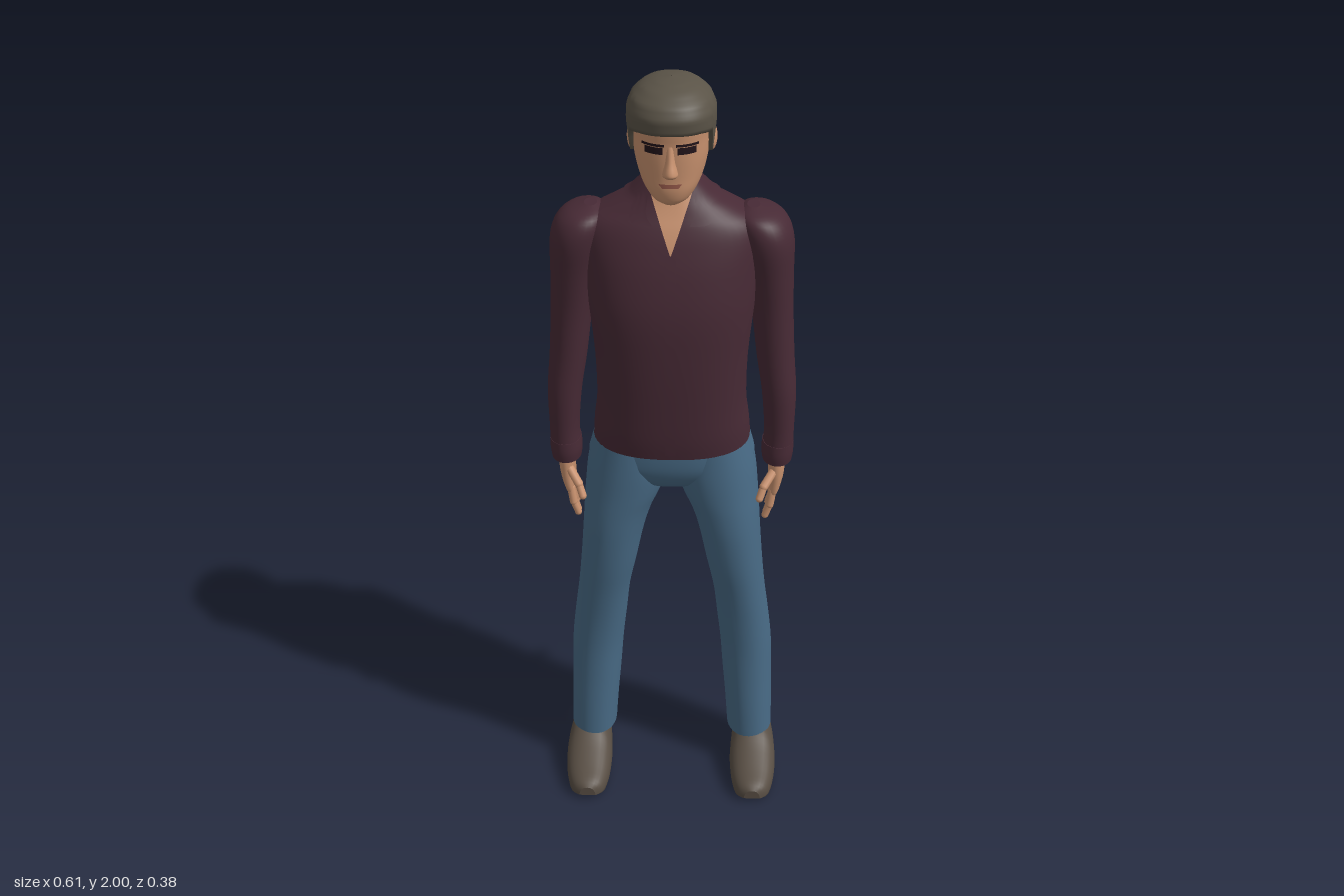
import * as THREE from 'three';
import { mergeGeometries } from 'three/addons/utils/BufferGeometryUtils.js';

const { lerp, smoothstep } = THREE.MathUtils;
const mat = (name, color, side = THREE.FrontSide) => {
  const m = new THREE.MeshStandardMaterial({ color, side });
  m.name = name;
  return m;
};

// Surface over u, v in 0..1; wrap closes it around u without a seam.
function grid(nu, nv, f, wrap = false) {
  const cols = wrap ? nu : nu + 1, pos = [], idx = [];
  for (let j = 0; j <= nv; j++) for (let i = 0; i < cols; i++) pos.push(...f(i / nu, j / nv));
  for (let j = 0; j < nv; j++) for (let i = 0; i < nu; i++) {
    const k = (i + 1) % cols, a = j * cols + i, b = j * cols + k, c = a + cols, d = b + cols;
    idx.push(a, b, c, b, d, c);
  }
  const g = new THREE.BufferGeometry();
  g.setAttribute('position', new THREE.Float32BufferAttribute(pos, 3));
  g.setIndex(idx);
  g.computeVertexNormals();
  return g;
}

// Smooth interpolation through section rows, t in 0..1.
function sectionAt(rows, t) {
  const n = rows.length - 1, s = t * n, i = Math.min(Math.floor(s), n - 1), f = s - i;
  const row = k => rows[Math.max(0, Math.min(n, k))];
  const [A, B, C, D] = [row(i - 1), row(i), row(i + 1), row(i + 2)];
  return B.map((b, k) => b + 0.5 * f * (C[k] - A[k] + f * (2 * A[k] - 5 * b + 4 * C[k] - D[k]
    + f * (3 * (b - C[k]) + D[k] - A[k]))));
}

// Section at a given height, by linear interpolation.
function sectionY(rows, y) {
  let i = 0;
  while (i < rows.length - 2 && rows[i + 1][0] < y) i++;
  const t = (y - rows[i][0]) / (rows[i + 1][0] - rows[i][0]);
  return rows[i].map((v, k) => lerp(v, rows[i + 1][k], t));
}

// Point on a section [y, cx, rx, zFront, zBack]; angle 0 faces front.
const pw = (v, p) => Math.sign(v) * Math.abs(v) ** (2 / p);
function ringPoint([y, cx, rx, zf, zb], a, p, grow = 0) {
  return [cx + (rx + grow) * pw(Math.sin(a), p), y,
    (zf + zb) / 2 + ((zf - zb) / 2 + grow) * pw(Math.cos(a), p)];
}

// Closed loft through rows ordered upwards.
function loft(rows, p = 2, nu = 32) {
  const ring = (v, u) => ringPoint(sectionAt(rows, v), u * Math.PI * 2, p);
  const cap = (v, up) => grid(nu, 1, (u, k) => {
    const [y, cx, , zf, zb] = sectionAt(rows, v);
    return (k === 1) === up ? [cx, y, (zf + zb) / 2] : ring(v, u);
  }, true);
  return mergeGeometries([grid(nu, (rows.length - 1) * 4, (u, v) => ring(v, u), true),
    cap(0, false), cap(1, true)]);
}

// Thin patch lying on the front of a lofted form.
function patch(rows, p, y0, y1, left, right, off) {
  const dense = Array.from({ length: 161 }, (_, i) => sectionAt(rows, i / 160));
  return grid(10, 16, (u, v) => {
    const y = lerp(y0, y1, v), x = lerp(left(v), right(v), u);
    const [, cx, rx, zf, zb] = sectionY(dense, y);
    const q = Math.min(1, Math.abs((x - cx) / rx)) ** p;
    return [x, y, (zf + zb) / 2 + (zf - zb) / 2 * (1 - q) ** (1 / p) + off];
  });
}

function capsule(a, b, r) {
  const d = b.clone().sub(a), g = new THREE.CapsuleGeometry(r, d.length(), 5, 10);
  g.applyQuaternion(new THREE.Quaternion().setFromUnitVectors(new THREE.Vector3(0, 1, 0), d.clone().normalize()));
  const m = a.clone().add(b).multiplyScalar(0.5);
  return g.translate(m.x, m.y, m.z);
}

const TORSO = [
  [1.07, 0, 0.195, 0.108, -0.185], [1.12, 0, 0.191, 0.115, -0.17], [1.2, 0, 0.182, 0.12, -0.148],
  [1.32, 0, 0.184, 0.125, -0.146], [1.45, 0, 0.196, 0.124, -0.152], [1.55, 0, 0.205, 0.107, -0.157],
  [1.62, 0, 0.21, 0.086, -0.15], [1.66, 0, 0.195, 0.07, -0.14], [1.69, 0, 0.145, 0.055, -0.125],
  [1.72, 0, 0.092, 0.042, -0.106], [1.75, 0, 0.063, 0.032, -0.09]];
const ARM = [
  [1.01, 0.264, 0.036, 0.03, -0.068], [1.05, 0.265, 0.038, 0.032, -0.066], [1.1, 0.266, 0.037, 0.032, -0.062],
  [1.2, 0.262, 0.042, 0.035, -0.068], [1.3, 0.25, 0.046, 0.033, -0.085], [1.42, 0.239, 0.05, 0.035, -0.1],
  [1.52, 0.23, 0.056, 0.045, -0.115], [1.6, 0.22, 0.064, 0.055, -0.125], [1.645, 0.208, 0.062, 0.05, -0.12],
  [1.67, 0.197, 0.045, 0.03, -0.1], [1.683, 0.187, 0.015, -0.015, -0.06]];
const LEG = [
  [0.105, 0.218, 0.062, 0.045, -0.115], [0.2, 0.213, 0.064, 0.043, -0.12], [0.3, 0.207, 0.067, 0.04, -0.126],
  [0.4, 0.201, 0.069, 0.04, -0.13], [0.5, 0.19, 0.069, 0.047, -0.124], [0.6, 0.178, 0.068, 0.06, -0.115],
  [0.7, 0.163, 0.073, 0.075, -0.113], [0.8, 0.149, 0.079, 0.084, -0.116], [0.87, 0.136, 0.087, 0.086, -0.123],
  [0.93, 0.12, 0.098, 0.086, -0.138], [1.0, 0.107, 0.103, 0.085, -0.152], [1.09, 0.1, 0.09, 0.08, -0.15]];
const PELVIS = [
  [0.935, 0, 0.04, 0.02, -0.06], [0.96, 0, 0.13, 0.06, -0.12], [1.0, 0, 0.203, 0.082, -0.152],
  [1.05, 0, 0.2, 0.09, -0.163], [1.14, 0, 0.172, 0.09, -0.135]];
const HEAD = [
  [1.733, 0, 0.02, 0.088, 0.03], [1.745, 0, 0.042, 0.1, 0], [1.77, 0, 0.061, 0.107, -0.04],
  [1.8, 0, 0.074, 0.108, -0.07], [1.84, 0, 0.083, 0.11, -0.085], [1.88, 0, 0.087, 0.111, -0.095],
  [1.92, 0, 0.088, 0.113, -0.095], [1.96, 0, 0.07, 0.09, -0.08], [1.985, 0, 0.03, 0.04, -0.03]];
const HAIR = [
  [1.78, 0, 0.076, 0.108, -0.082], [1.83, 0, 0.091, 0.114, -0.1], [1.87, 0, 0.096, 0.118, -0.106],
  [1.91, 0, 0.1, 0.126, -0.108], [1.94, 0, 0.099, 0.129, -0.106], [1.965, 0, 0.088, 0.115, -0.096],
  [1.985, 0, 0.064, 0.083, -0.072], [1.996, 0, 0.034, 0.048, -0.04], [2.0, 0, 0.001, 0.006, 0.004]];
// Hairline height by angle in degrees from the front.
const HAIRLINE = [[0, 1.908], [40, 1.906], [66, 1.898], [76, 1.84], [94, 1.835], [100, 1.87],
  [116, 1.865], [124, 1.815], [180, 1.797]];

export function createModel() {
  const root = new THREE.Group();
  const shirt = mat('shirt plum', 0x472a35, THREE.DoubleSide), jeans = mat('denim blue', 0x486a85);
  const skin = mat('skin', 0xc9926f), hair = mat('hair brown', 0x5a5347, THREE.DoubleSide);
  const shoe = mat('shoe brown', 0x574d43), dark = mat('eye dark', 0x22141a), lip = mat('lip', 0x96594a);
  const add = (name, geo, m, parent = root) => {
    const mesh = new THREE.Mesh(geo, m);
    mesh.name = name;
    parent.add(mesh);
    return mesh;
  };

  // Shirt body, open neck and front placket
  add('shirtBody', loft(TORSO, 2.4, 48), shirt);
  const neckW = v => 0.001 + 0.05 * v;
  add('openNeck', patch(TORSO, 2.4, 1.61, 1.749, v => -neckW(v), neckW, 0.004), skin);
  add('placket', patch(TORSO, 2.4, 1.085, 1.61, () => -0.013, () => 0.013, 0.003), shirt);

  // Folded collar running round the neck, with points at the front
  add('collar', grid(64, 6, (u, v) => {
    const start = lerp(0.17, 0.75, v), a = lerp(start, Math.PI * 2 - start, u);
    const front = Math.min(a, Math.PI * 2 - a);
    const y = lerp(lerp(1.672, 1.712, smoothstep(front, 0.35, 0.9)), 1.754, v);
    return ringPoint(sectionY(TORSO, y), a, 2.4, 0.007);
  }), shirt);

  // Neck and head
  add('neck', loft([[1.66, 0, 0.065, 0.035, -0.075], [1.75, 0, 0.056, 0.036, -0.07],
    [1.83, 0, 0.058, 0.05, -0.075]]), skin);
  add('head', loft(HEAD, 2.2, 40), skin);
  add('nose', loft([[1.803, 0, 0.008, 0.112, 0.09], [1.812, 0, 0.017, 0.129, 0.085],
    [1.822, 0, 0.016, 0.131, 0.085], [1.845, 0, 0.011, 0.122, 0.085], [1.878, 0, 0.009, 0.112, 0.09]], 2, 16), skin);
  add('mouth', patch(HEAD, 2.2, 1.781, 1.791, v => -0.026 + 0.008 * (1 - v), v => 0.026 - 0.008 * (1 - v), 0.002), lip);

  // Hair cap with fringe, sideburns and nape
  add('hair', grid(72, 20, (u, v) => {
    const a = u * Math.PI * 2, deg = 180 - Math.abs(180 - u * 360);
    const y0 = sectionY(HAIRLINE, deg)[1];
    const t = Math.max(0, (v - 0.05) / 0.95);
    const y = lerp(y0, 2, 1 - (1 - t) ** 1.7);
    const s = sectionY(HAIR, y);
    // the first row tucks under to meet the head
    return ringPoint(s, a, 2.2, v === 0 ? -0.02 : 0);
  }, true), hair);

  for (const s of [1, -1]) {
    const side = s > 0 ? 'left' : 'right';
    const mirror = rows => rows.map(([y, cx, ...r]) => [y, s * cx, ...r]);
    const V = (x, y, z) => new THREE.Vector3(s * x, y, z);

    // Eyes, brows and ears
    const span = (a, b) => [() => Math.min(s * a, s * b), () => Math.max(s * a, s * b)];
    add(side + 'Eye', patch(HEAD, 2.2, 1.861, 1.877, ...span(0.016, 0.056), 0.003), dark);
    add(side + 'Brow', patch(HEAD, 2.2, 1.879, 1.885, ...span(0.013, 0.062), 0.004), dark);
    const ear = add(side + 'Ear', new THREE.SphereGeometry(1, 14, 10), skin);
    ear.scale.set(0.011, 0.03, 0.018);
    ear.position.set(s * 0.09, 1.848, -0.03);
    ear.rotation.set(-0.15, s * -0.25, 0);

    // Sleeve with a cuff, and jeans leg
    add(side + 'Sleeve', loft(mirror(ARM), 2.1), shirt);
    add(side + 'Cuff', loft(mirror([[1.005, 0.264, 0.037, 0.031, -0.07], [1.03, 0.264, 0.04, 0.034, -0.071],
      [1.06, 0.265, 0.039, 0.033, -0.067]]), 2.1), shirt);
    add(side + 'TrouserLeg', loft(mirror(LEG), 2.15), jeans);

    // Hand with four fingers and a thumb
    const hand = new THREE.Group();
    hand.name = side + 'Hand';
    root.add(hand);
    add('palm', loft(mirror([[0.89, 0.256, 0.009, 0, -0.075], [0.905, 0.258, 0.015, 0.01, -0.085],
      [0.945, 0.263, 0.019, 0.014, -0.075], [0.985, 0.264, 0.021, 0.014, -0.058],
      [1.03, 0.264, 0.021, 0.01, -0.05]]), 2.2, 20), skin, hand);
    const digits = [
      ['thumb', V(0.256, 0.972, 0.004), V(0.232, 0.945, 0.034), V(0.222, 0.917, 0.046), 0.011],
      ['indexFinger', V(0.256, 0.91, -0.002), V(0.25, 0.87, 0.003), V(0.239, 0.838, 0.003), 0.0105],
      ['middleFinger', V(0.257, 0.905, -0.026), V(0.253, 0.858, -0.033), V(0.243, 0.819, -0.037), 0.011],
      ['ringFinger', V(0.258, 0.907, -0.05), V(0.256, 0.862, -0.065), V(0.248, 0.826, -0.074), 0.0105],
      ['littleFinger', V(0.258, 0.915, -0.072), V(0.258, 0.885, -0.092), V(0.252, 0.862, -0.102), 0.009]];
    for (const [name, a, b, c, r] of digits)
      add(name, mergeGeometries([capsule(a, b, r), capsule(b, c, r * 0.88)]), skin, hand);

    // Shoe: sections along the foot, flattened at the sole
    const rows = [[-0.115, 0.03, 0.07], [-0.1, 0.048, 0.105], [-0.04, 0.056, 0.12], [0.02, 0.061, 0.118],
      [0.07, 0.063, 0.092], [0.13, 0.057, 0.068], [0.175, 0.043, 0.054], [0.193, 0.022, 0.042]]
      .map(([z, w, h]) => [z, s * (0.228 - 0.02 * Math.max(0, z - 0.1)), w, 0.018, -h]);
    const g = loft(rows, 2.3, 28).rotateX(Math.PI / 2), P = g.attributes.position;
    for (let i = 0; i < P.count; i++) P.setY(i, Math.max(P.getY(i), Math.max(0, P.getZ(i) - 0.12) * 0.2));
    g.computeVertexNormals();
    add(side + 'Shoe', g, shoe);
  }

  // Hips joining the legs
  add('trouserHips', loft(PELVIS, 2.3, 40), jeans);
  return root;
}
